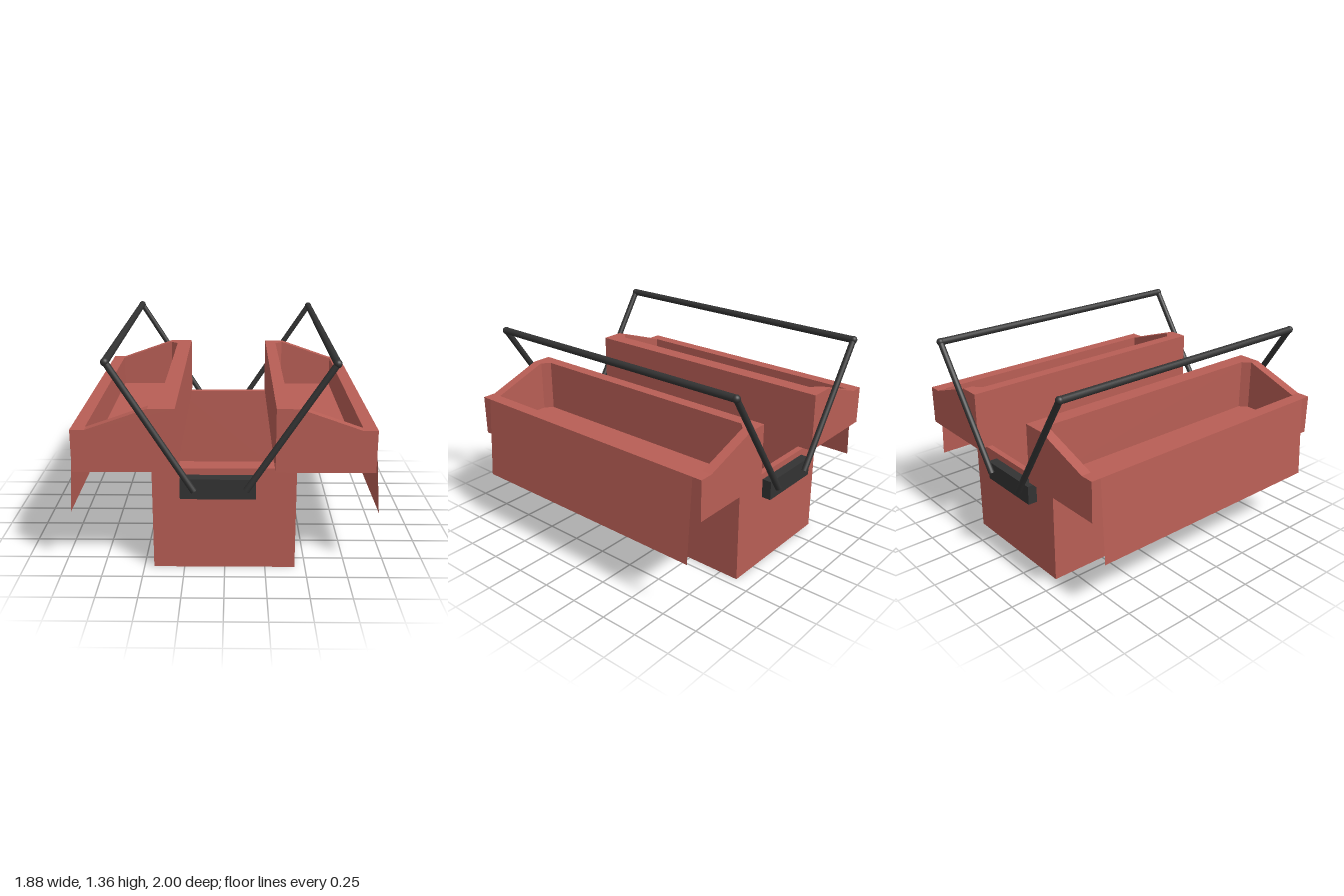
import * as THREE from 'three';

const red = new THREE.MeshStandardMaterial({ color: 0xb85e55 });
const redSheet = new THREE.MeshStandardMaterial({ color: 0xb85e55, side: THREE.DoubleSide });
const dark = new THREE.MeshStandardMaterial({ color: 0x333333 });

function add(parent, name, geometry, material) {
  const mesh = new THREE.Mesh(geometry, material);
  mesh.name = name;
  parent.add(mesh);
  return mesh;
}

const outline = (points) => new THREE.Shape(points.map(([x, y]) => new THREE.Vector2(x, y)));

// Box given by its limits
function block(x0, x1, y0, y1, z0, z1) {
  return new THREE.BoxGeometry(x1 - x0, y1 - y0, z1 - z0)
    .translate((x0 + x1) / 2, (y0 + y1) / 2, (z0 + z1) / 2);
}

// Front outline (x, y) drawn out from z0 to z1
function alongZ(points, z0, z1) {
  return new THREE.ExtrudeGeometry(outline(points), { depth: z1 - z0, bevelEnabled: false })
    .translate(0, 0, z0);
}

// Plan outline (x, z) drawn up from y0 to y1, with an optional hole
function alongY(points, y0, y1, hole) {
  // Reversed so that outline and hole both run counterclockwise after the flip
  const flip = (list) => list.map(([x, z]) => [x, -z]).reverse();
  const shape = outline(flip(points));
  if (hole) shape.holes.push(outline(flip(hole)));
  return new THREE.ExtrudeGeometry(shape, { depth: y1 - y0, bevelEnabled: false })
    .rotateX(-Math.PI / 2).translate(0, y0, 0);
}

const rect = (x0, x1, z0, z1) => [[x0, z0], [x1, z0], [x1, z1], [x0, z1]];

// Round rod between two points
function rod(parent, name, a, b, radius) {
  const dir = b.clone().sub(a);
  const mesh = add(parent, name, new THREE.CylinderGeometry(radius, radius, dir.length(), 16), dark);
  mesh.position.copy(a).add(b).multiplyScalar(0.5);
  mesh.quaternion.setFromUnitVectors(new THREE.Vector3(0, 1, 0), dir.normalize());
}

// Hollow tray on one side; distances are measured outward from the middle
function makeTray(name, s, { inner, outer, cavityIn, cavityOut, ridge, bend }) {
  const tray = new THREE.Group();
  tray.name = name;
  const bottom = 0.657, floor = 0.71, low = 0.92, high = 1.05;
  const zBack = -0.944, zFront = 0.935, cavBack = -0.88, cavFront = 0.87;
  const side = (points) => points.map(([x, y]) => [s * x, y]);

  // Floor and both long walls as one trough
  add(tray, 'trayTrough', alongZ(side([
    [inner, bottom], [outer, bottom], [outer, low], [cavityOut, low],
    [cavityOut, floor], [cavityIn, floor], [cavityIn, high], [inner, high],
  ]), cavBack, cavFront), red);

  // Sloping end walls
  const end = side([
    [inner, bottom], [outer, bottom], [outer, low], [bend, low], [ridge, high], [inner, high],
  ]);
  add(tray, 'trayEndBack', alongZ(end, zBack, cavBack), red);
  add(tray, 'trayEndFront', alongZ(end, cavFront, zFront), red);

  // Chamfered inner corners
  for (const [z, d] of [[cavBack, 0.045], [cavFront, -0.045]]) {
    add(tray, 'trayCorner', alongY(
      side([[cavityIn, z], [cavityIn + 0.05, z], [cavityIn, z + d]]), floor, high), red);
  }

  // Thin flap hanging from the outer edge and leaning outward
  const hem = 0.37, lean = 0.94 - outer;
  const flap = new THREE.PlaneGeometry(1.75, Math.hypot(low - hem, lean))
    .rotateY(s * Math.PI / 2).rotateZ(s * Math.atan2(lean, low - hem));
  add(tray, 'trayFlap', flap, redSheet)
    .position.set(s * (outer + 0.94) / 2, (low + hem) / 2, -0.006);
  return tray;
}

// Bail handle: two arms, a long bar and round joints
function makeHandle(name, xLow, yLow, xHigh, yHigh) {
  const handle = new THREE.Group();
  handle.name = name;
  const ends = [[-0.96, -0.975], [0.976, 0.96]].map(([zLow, zHigh]) => {
    const foot = new THREE.Vector3(xLow, yLow, zLow);
    const top = new THREE.Vector3(xHigh, yHigh, zHigh);
    rod(handle, 'handleArm', foot, top, 0.02);
    add(handle, 'handleJoint', new THREE.SphereGeometry(0.025, 16, 12), dark).position.copy(top);
    return top;
  });
  rod(handle, 'handleBar', ends[0], ends[1], 0.023);
  return handle;
}

export function createModel() {
  const model = new THREE.Group();
  model.name = 'toolbox';

  // Open lower box
  const base = new THREE.Group();
  base.name = 'base';
  add(base, 'baseWalls', alongY(rect(-0.44, 0.435, -0.88, 0.87), 0, 0.657,
    rect(-0.395, 0.39, -0.84, 0.825)), red);
  add(base, 'baseFloor', block(-0.395, 0.39, 0, 0.05, -0.84, 0.825), red);
  model.add(base);

  // Raised trays
  model.add(makeTray('rightTray', -1,
    { inner: 0.287, outer: 0.906, cavityIn: 0.392, cavityOut: 0.824, ridge: 0.447, bend: 0.818 }));
  model.add(makeTray('leftTray', 1,
    { inner: 0.302, outer: 0.897, cavityIn: 0.38, cavityOut: 0.815, ridge: 0.437, bend: 0.807 }));

  // Handle brackets on both ends
  add(model, 'frontBracket', block(-0.267, 0.188, 0.49, 0.616, 0.87, 0.948), dark);
  add(model, 'backBracket', block(-0.267, 0.188, 0.49, 0.616, -0.943, -0.88), dark);

  // Swung-out handles
  model.add(makeHandle('rightHandle', -0.182, 0.553, -0.676, 1.333));
  model.add(makeHandle('leftHandle', 0.128, 0.557, 0.64, 1.325));
  return model;
}
